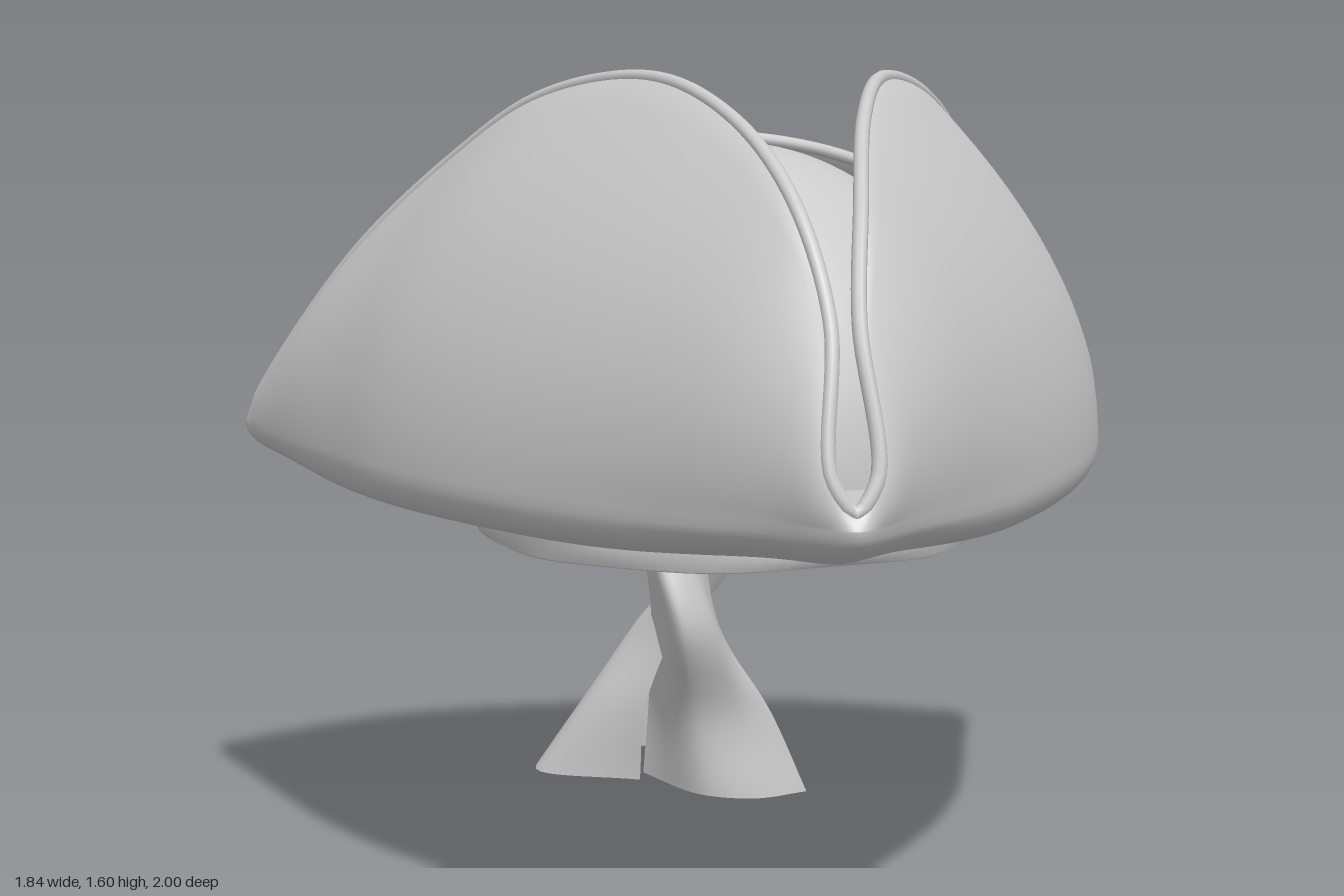
import * as THREE from 'three';

const V = (x, y, z) => new THREE.Vector3(x, y, z);
const mat = new THREE.MeshStandardMaterial({ color: 0xcccccc, side: THREE.DoubleSide, roughness: 0.8 });
const CZ = -0.11; // centre of the head opening in z

// Surface through rows of points; closed joins the last row to the first
function loft(rows, closed) {
  const n = rows.length, m = rows[0].length, index = [];
  for (let i = 0; i < (closed ? n : n - 1); i++) {
    for (let j = 0; j < m - 1; j++) {
      const a = i * m + j, b = ((i + 1) % n) * m + j;
      index.push(a, b, b + 1, a, b + 1, a + 1);
    }
  }
  const geo = new THREE.BufferGeometry().setFromPoints(rows.flat());
  geo.setIndex(index);
  geo.computeVertexNormals();
  return geo;
}

// Closed curve from one half's points (front to back), mirrored in x
function mirroredLoop(half) {
  const pts = half.map(p => V(...p));
  for (let i = half.length - 2; i > 0; i--) pts.push(V(-half[i][0], half[i][1], half[i][2]));
  return new THREE.CatmullRomCurve3(pts, true, 'centripetal');
}

const bezier = (a, b, c, t) => new THREE.QuadraticBezierCurve3(a, b, c).getPoint(t);

// Widest outline of the brim, seen from above
const outline = mirroredLoop([
  [0, 0.88, 1.0], [0.055, 0.88, 0.962], [0.13, 0.88, 0.88], [0.25, 0.88, 0.76], [0.40, 0.88, 0.58],
  [0.57, 0.88, 0.33], [0.70, 0.88, 0.07], [0.785, 0.88, -0.18], [0.86, 0.88, -0.42], [0.91, 0.88, -0.58],
  [0.92, 0.88, -0.64], [0.87, 0.88, -0.675], [0.70, 0.88, -0.73], [0.40, 0.88, -0.795], [0, 0.88, -0.82],
]);
// Upper edge of the three turned-up flaps, point for point with the outline
const rim = mirroredLoop([
  [0, 0.905, 0.985], [0.043, 0.96, 0.975], [0.03, 1.2, 0.90], [0.06, 1.38, 0.78], [0.12, 1.52, 0.55],
  [0.22, 1.59, 0.28], [0.38, 1.555, 0.0], [0.52, 1.44, -0.22], [0.70, 1.25, -0.42], [0.86, 1.01, -0.585],
  [0.905, 0.92, -0.64], [0.85, 0.985, -0.62], [0.66, 1.19, -0.56], [0.40, 1.40, -0.48], [0, 1.475, -0.44],
]);

const ellipse = (angle, rx, rz, y) => V(Math.sin(angle) * rx, y, CZ + Math.cos(angle) * rz);

// One cross-section: opening, underside, rounded fold, flap outside, flap inside, floor
function brimSection(t) {
  const o = outline.getPoint(t), r = rim.getPoint(t);
  const tan = outline.getTangent(t);
  const out = V(-tan.z, 0, tan.x).normalize();
  const angle = Math.atan2(o.x, o.z - CZ);
  const bulge = 0.25 * Math.max(0, r.y - 0.9);
  const open = ellipse(angle, 0.49, 0.55, 0.78);
  const pts = [];
  const inward = V(-o.x, 0, CZ - o.z).normalize();
  // the underside lifts a little towards the three corners
  const corner = THREE.MathUtils.smoothstep(Math.hypot(o.x, o.z - CZ), 0.75, 1.08);
  const under = o.clone().addScaledVector(inward, 0.13 + 0.12 * corner).setY(0.782 + 0.008 * corner);
  const fold = o.clone().setY(0.786 + 0.03 * corner);
  for (let k = 0; k < 5; k++) pts.push(open.clone().lerp(under, k / 5));
  for (let k = 0; k < 9; k++) pts.push(bezier(under, fold, o, k / 9));
  const ctrl = o.clone().lerp(r, 0.5).addScaledVector(out, bulge);
  for (let k = 0; k <= 16; k++) pts.push(bezier(o, ctrl, r, k / 16));
  for (let k = 16; k >= 0; k--) {
    pts.push(bezier(o, ctrl, r, k / 16).addScaledVector(out, -0.018));
  }
  const base = pts[pts.length - 1], foot = ellipse(angle, 0.5, 0.52, 0.86);
  for (let k = 1; k <= 5; k++) pts.push(base.clone().lerp(foot, k / 5));
  return pts;
}

// Tail of cloth: smooth surface across guide curves that run from knot to hem
function tailGeometry(...guides) {
  const curves = guides.map(g => new THREE.CatmullRomCurve3(g.map(p => V(...p))));
  const rows = [];
  for (let i = 0; i <= 40; i++) {
    rows.push(new THREE.CatmullRomCurve3(curves.map(c => c.getPoint(i / 40))).getPoints(24));
  }
  return loft(rows, false);
}

export function createModel() {
  const model = new THREE.Group();
  const add = (name, geo) => {
    const mesh = new THREE.Mesh(geo, mat);
    mesh.name = name;
    model.add(mesh);
    return mesh;
  };

  // Three-cornered brim
  const N = 280, sections = [];
  for (let i = 0; i < N; i++) sections.push(brimSection(i / N));
  add('brim', loft(sections, true));

  // Rolled trim along the flap edges
  class RimPath extends THREE.Curve {
    getPoint(t, target = V()) {
      const tan = outline.getTangent(t);
      return target.copy(rim.getPoint(t)).addScaledVector(V(-tan.z, 0, tan.x).normalize(), -0.008);
    }
  }
  add('brimTrim', new THREE.TubeGeometry(new RimPath(), 360, 0.013, 10, true));

  // Domed crown, open below
  const crown = add('crown', new THREE.SphereGeometry(1, 64, 32, 0, Math.PI * 2, 0, Math.PI / 2));
  crown.scale.set(0.535, 0.61, 0.56);
  crown.position.set(0, 0.86, CZ);

  // Cloth headband with a slightly wavy lower edge
  const band = [];
  for (let i = 0; i < 96; i++) {
    const a = i / 96 * Math.PI * 2;
    const w = 0.006 * Math.sin(a * 3 + 1) + 0.004 * Math.sin(a * 7);
    const low = 0.714 + w * 0.6;
    band.push([[0.46, 0.9], [0.462, low + 0.01], [0.47, low], [0.482 + w, low + 0.004], [0.486 + w, 0.75], [0.484, 0.8]]
      .map(([r, y]) => ellipse(a, r, r + 0.055, y)));
  }
  add('headband', loft(band, true));

  // Knot at the back
  const knot = add('knot', new THREE.SphereGeometry(1, 24, 16));
  knot.scale.set(0.04, 0.045, 0.026);
  knot.position.set(0, 0.75, -0.655);

  // Two twisted tails hanging from the knot, each curled open
  add('rightTail', tailGeometry(
    [[0.03, 0.74, -0.66], [0.12, 0.56, -0.68], [0.07, 0.40, -0.82], [0.0, 0.22, -0.91], [-0.01, 0.07, -0.93]],
    [[0.01, 0.74, -0.67], [0.08, 0.57, -0.73], [0.0, 0.40, -0.86], [-0.12, 0.22, -0.94], [-0.18, 0.08, -0.995]],
    [[-0.01, 0.74, -0.67], [0.03, 0.57, -0.70], [-0.08, 0.39, -0.79], [-0.20, 0.20, -0.82], [-0.295, 0.05, -0.86]],
    [[-0.02, 0.74, -0.66], [0.02, 0.57, -0.62], [-0.01, 0.40, -0.68], [-0.07, 0.22, -0.70], [-0.08, 0.05, -0.72]]));
  add('leftTail', tailGeometry(
    [[-0.03, 0.74, -0.65], [-0.07, 0.60, -0.67], [-0.05, 0.42, -0.74], [-0.04, 0.20, -0.84], [-0.05, 0.03, -0.86]],
    [[-0.01, 0.74, -0.64], [-0.06, 0.60, -0.59], [-0.02, 0.42, -0.55], [0.02, 0.20, -0.66], [0.05, 0.02, -0.68]],
    [[0.01, 0.74, -0.64], [0.0, 0.60, -0.59], [0.06, 0.42, -0.58], [0.13, 0.20, -0.66], [0.17, 0.01, -0.66]],
    [[0.03, 0.74, -0.65], [0.05, 0.60, -0.65], [0.09, 0.40, -0.66], [0.21, 0.20, -0.69], [0.295, 0.01, -0.70]]));

  return model;
}
